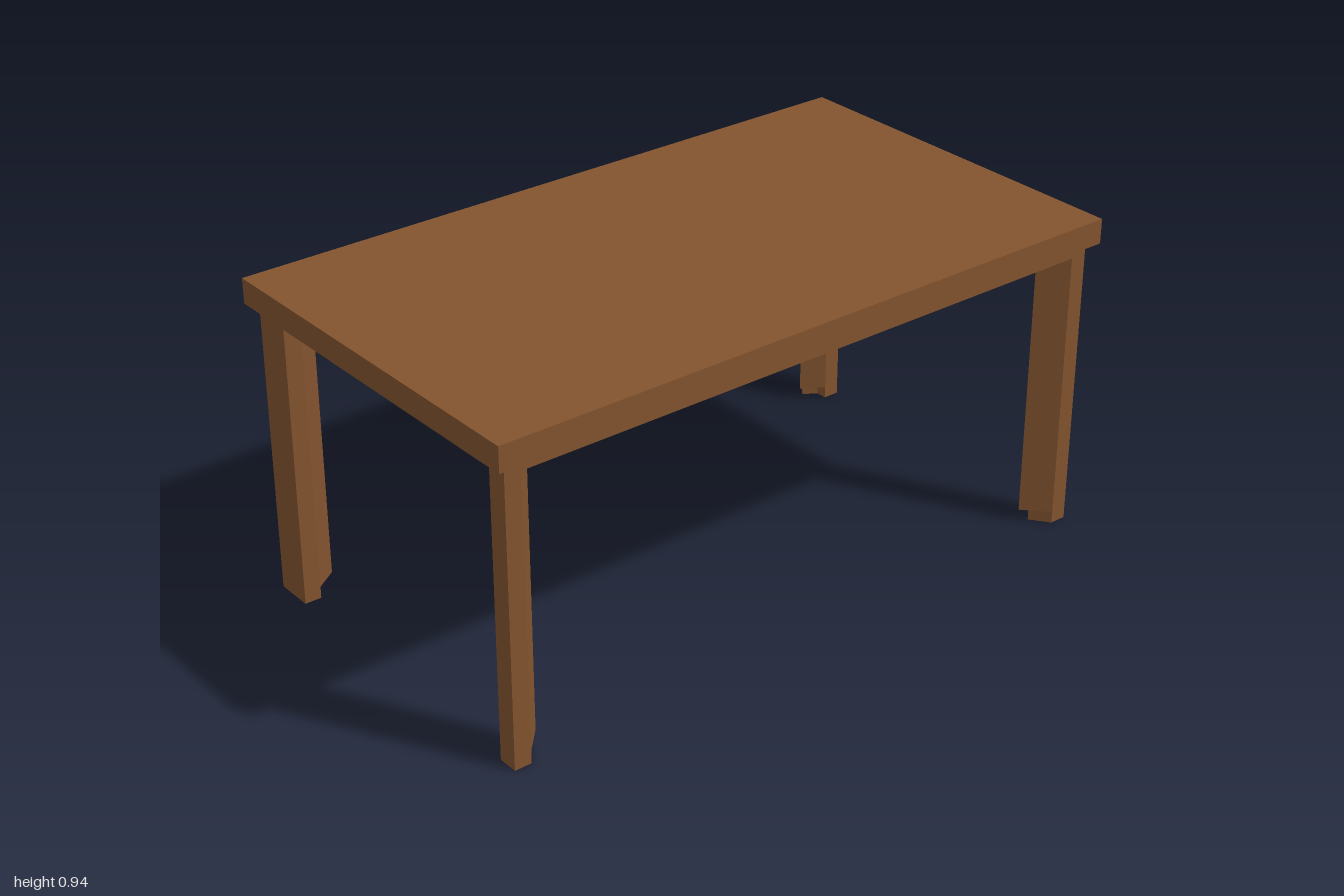
import * as THREE from 'three';

const wood = new THREE.MeshStandardMaterial({ color: 0x83542f, flatShading: true });

function addBox(parent, name, w, h, d, x, y, z) {
  const mesh = new THREE.Mesh(new THREE.BoxGeometry(w, h, d), wood);
  mesh.name = name;
  mesh.position.set(x, y, z);
  parent.add(mesh);
}

// Upright prism over a plan outline of [x, z] points, mirrored by sx and sz
function addPrism(parent, name, outline, sx, sz, y0, y1) {
  const shape = new THREE.Shape(outline.map(([x, z]) => new THREE.Vector2(sx * x, -sz * z)));
  const geometry = new THREE.ExtrudeGeometry(shape, { depth: y1 - y0, bevelEnabled: false });
  geometry.rotateX(-Math.PI / 2);
  const mesh = new THREE.Mesh(geometry, wood);
  mesh.name = name;
  mesh.position.y = y0;
  parent.add(mesh);
}

// Leg plans: narrow legs on the left (+x), wide ones on the right (-x).
// The foot is the same plan with the inner corner cut back.
const plans = {
  narrow: {
    post: [[0.545, 0.97], [0.485, 0.97], [0.45, 0.89], [0.475, 0.855], [0.545, 0.92]],
    foot: [[0.545, 0.97], [0.485, 0.97], [0.465, 0.922], [0.49, 0.88], [0.545, 0.92]],
  },
  wide: {
    post: [[0.545, 0.97], [0.43, 0.97], [0.43, 0.92], [0.475, 0.855], [0.545, 0.92]],
    foot: [[0.545, 0.97], [0.43, 0.97], [0.43, 0.92], [0.465, 0.92], [0.49, 0.88], [0.545, 0.92]],
  },
};

export function createModel() {
  const table = new THREE.Group();
  table.name = 'table';

  addBox(table, 'tableTop', 1.14, 0.073, 2, 0, 0.9025, 0);

  // Apron rails, flush with the outer faces of the legs
  const t = 0.05;
  for (const s of [1, -1]) {
    addBox(table, s > 0 ? 'frontRail' : 'backRail', 0.94, 0.031, t, 0.01, 0.8505, s * (0.97 - t / 2));
    addBox(table, s > 0 ? 'leftRail' : 'rightRail', t, 0.031, 1.84, s * (0.545 - t / 2), 0.8505, 0);
  }

  // Four legs
  for (const sx of [1, -1]) {
    for (const sz of [1, -1]) {
      const leg = new THREE.Group();
      leg.name = (sz > 0 ? 'front' : 'back') + (sx > 0 ? 'Left' : 'Right') + 'Leg';
      const plan = sx > 0 ? plans.narrow : plans.wide;
      addPrism(leg, 'post', plan.post, sx, sz, 0.035, 0.866);
      addPrism(leg, 'foot', plan.foot, sx, sz, 0, 0.035);
      table.add(leg);
    }
  }
  return table;
}
